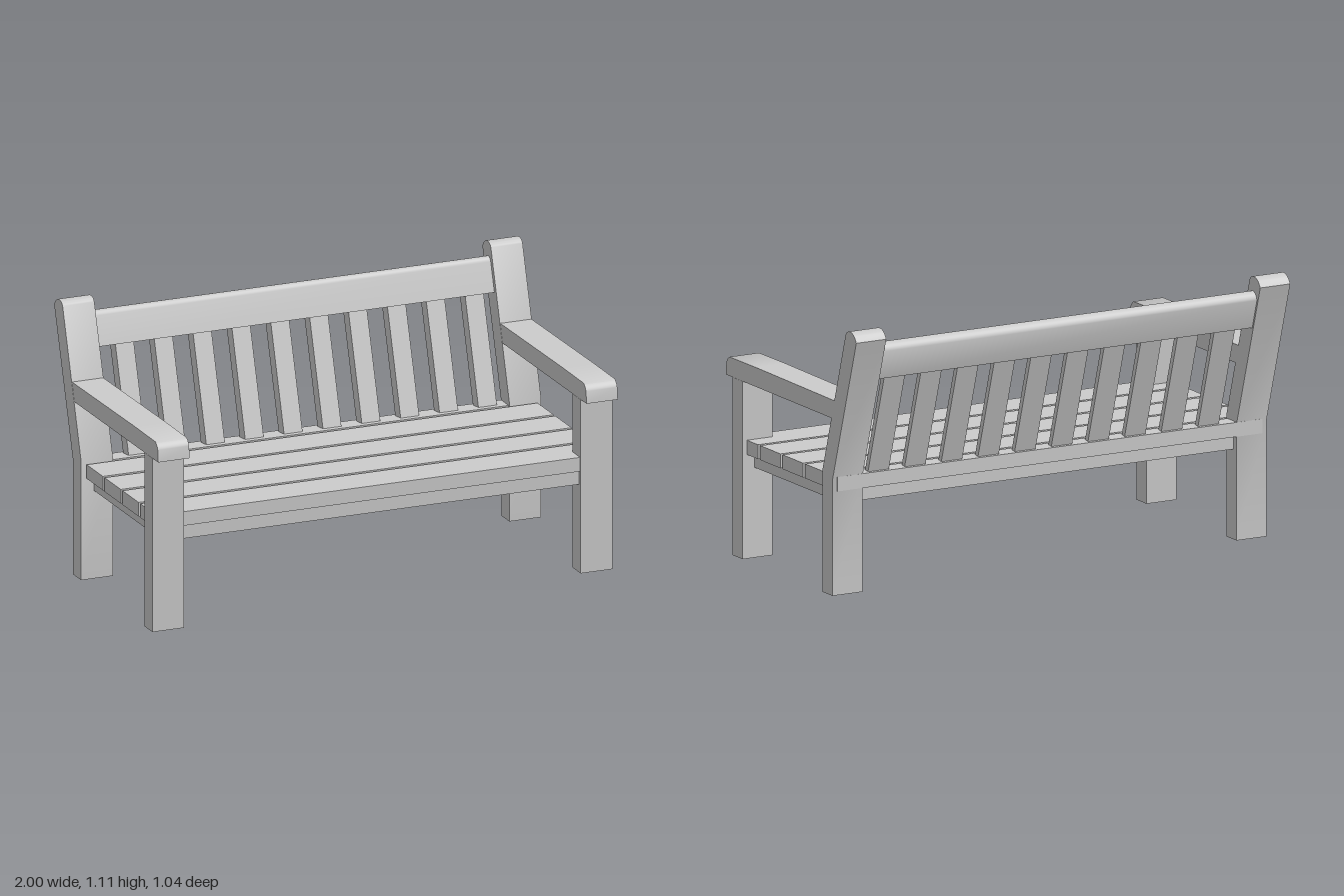
import * as THREE from 'three';
import { toCreasedNormals } from 'three/addons/utils/BufferGeometryUtils.js';

const material = new THREE.MeshStandardMaterial({ color: 0xcccccc });
const LEAN = 0.302; // backward tilt of the backrest
const INNER = 0.862; // inner face of the legs
const LEG_W = 1 - INNER;

function add(parent, name, geometry, x = 0, y = 0, z = 0) {
  const mesh = new THREE.Mesh(geometry, material);
  mesh.name = name;
  mesh.position.set(x, y, z);
  parent.add(mesh);
  return mesh;
}

// Extrudes a side outline drawn in (z, y) along x, centred on x = 0
function sideProfile(shape, width) {
  const g = new THREE.ExtrudeGeometry(shape, { depth: width, bevelEnabled: false, curveSegments: 6 });
  g.rotateY(-Math.PI / 2).translate(width / 2, 0, 0);
  return toCreasedNormals(g, 0.6);
}

// Box from edge positions in y and z
function plank(parent, name, halfX, y0, y1, z0, z1) {
  return add(parent, name, new THREE.BoxGeometry(2 * halfX, y1 - y0, z1 - z0), 0, (y0 + y1) / 2, (z0 + z1) / 2);
}

function postShape() {
  const s = new THREE.Shape();
  s.moveTo(-0.25, 0);
  s.lineTo(-0.25, 0.5);
  s.lineTo(-0.435, 1.095);
  s.quadraticCurveTo(-0.445, 1.112, -0.465, 1.113);
  s.lineTo(-0.48, 1.112);
  s.quadraticCurveTo(-0.506, 1.105, -0.52, 1.077);
  s.lineTo(-0.33, 0.475);
  s.lineTo(-0.33, 0);
  return s;
}

function armShape() {
  const s = new THREE.Shape();
  s.moveTo(-0.321, 0.728);
  s.lineTo(0.521, 0.73);
  s.lineTo(0.516, 0.78);
  s.quadraticCurveTo(0.51, 0.797, 0.492, 0.808);
  s.lineTo(0.28, 0.809);
  s.lineTo(-0.344, 0.804);
  return s;
}

// Top rail section, square below and rounded above
function railShape() {
  const s = new THREE.Shape();
  s.moveTo(-0.4, 0.917);
  s.lineTo(-0.437, 1.035);
  s.quadraticCurveTo(-0.443, 1.053, -0.462, 1.053);
  s.quadraticCurveTo(-0.489, 1.047, -0.493, 1.02);
  s.lineTo(-0.456, 0.9);
  return s;
}

export function createModel() {
  const bench = new THREE.Group();
  bench.name = 'bench';

  // Legs and armrests, mirrored left and right
  const postGeometry = sideProfile(postShape(), LEG_W);
  const armGeometry = sideProfile(armShape(), LEG_W - 0.002);
  for (const [side, sign] of [['left', 1], ['right', -1]]) {
    const x = sign * (INNER + LEG_W / 2);
    add(bench, side + 'BackPost', postGeometry, x);
    add(bench, side + 'Armrest', armGeometry, x);
    plank(bench, side + 'FrontLeg', LEG_W / 2, 0, 0.73, 0.385, 0.465).position.x = x;
  }

  // Seat: solid base with five planks let into the legs
  plank(bench, 'seatBase', 0.945, 0.37, 0.443, -0.305, 0.45);
  for (let i = 0; i < 5; i++) {
    const front = 0.459 - i * 0.179;
    plank(bench, 'seatSlat' + (i + 1), 0.98, 0.427, 0.486, i === 4 ? -0.334 : front - 0.162, front);
  }

  // Backrest: top rail and ten leaning slats with splayed sides
  add(bench, 'topRail', sideProfile(railShape(), 2 * INNER));
  const section = new THREE.Shape([[-0.04, 0], [0.04, 0], [0.048, 0.035], [-0.048, 0.035]]
    .map(([x, y]) => new THREE.Vector2(x, y)));
  const slat = new THREE.ExtrudeGeometry(section, { depth: 0.51, bevelEnabled: false });
  slat.rotateX(-Math.PI / 2).rotateX(-LEAN);
  for (let i = 0; i < 10; i++) {
    add(bench, 'backSlat' + (i + 1), slat, -0.74 + i * 0.169, 0.455, -0.271);
  }
  return bench;
}
